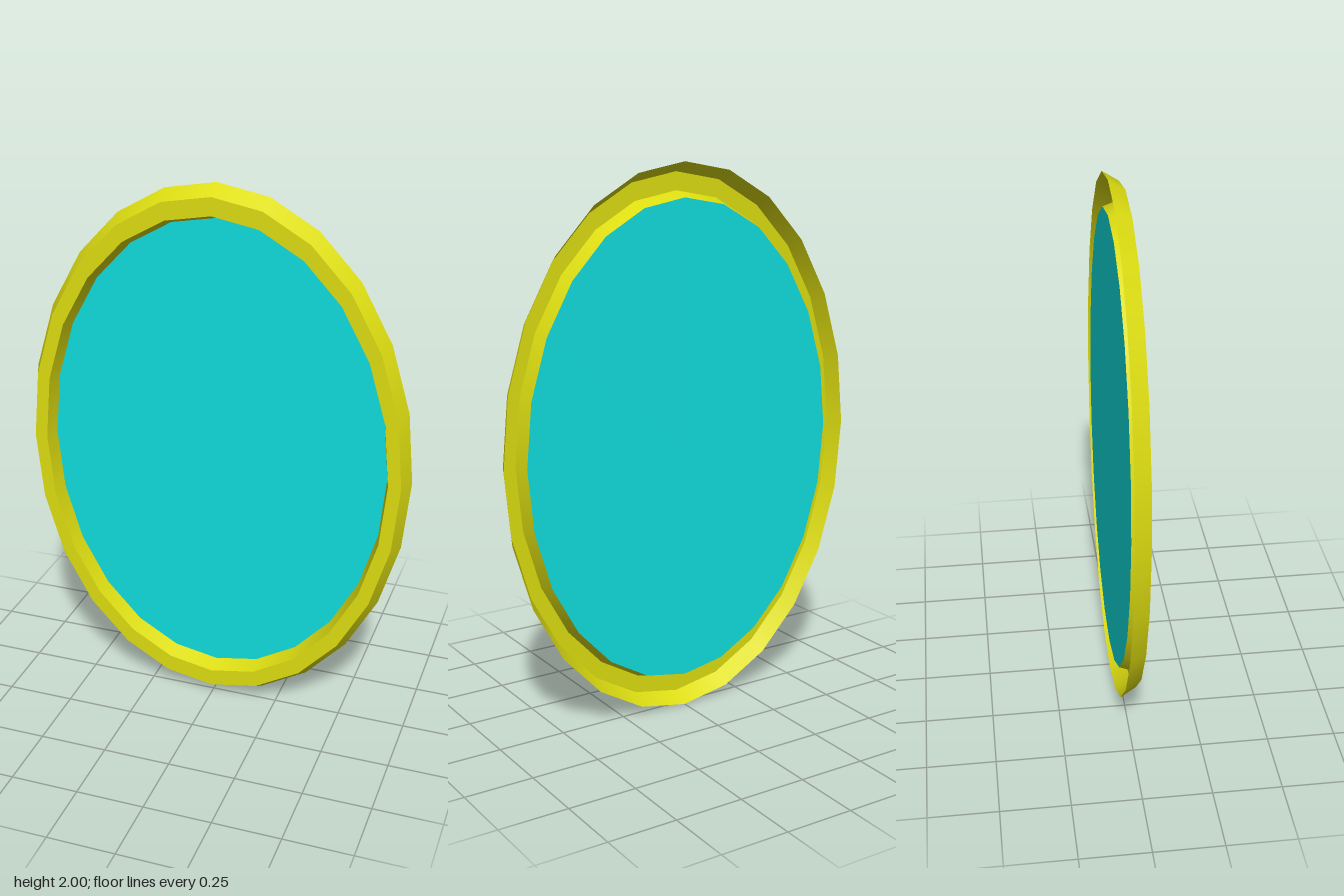
import * as THREE from 'three';

const SIDES = 24;      // facets round the oval
const OVAL = 0.718;    // width to height ratio
const Z = 0.029;       // half depth

export function createModel() {
  const model = new THREE.Group();
  model.name = 'ovalMirror';

  const frameMaterial = new THREE.MeshStandardMaterial({ color: 0xdddd11, side: THREE.DoubleSide });
  const glassMaterial = new THREE.MeshStandardMaterial({ color: 0x11dddd, side: THREE.DoubleSide });

  // Frame: an open-backed channel of three bands, each [radius, z] to [radius, z]
  const profile = [[1, -Z], [0.964, Z], [0.899, Z], [0.878, -Z]];
  const names = ['outerBevel', 'frontRim', 'innerBevel'];
  const frame = new THREE.Group();
  frame.name = 'frame';
  names.forEach((name, i) => {
    const points = [profile[i], profile[i + 1]].map(([r, z]) => new THREE.Vector2(r, z));
    const band = new THREE.LatheGeometry(points, SIDES);
    band.rotateX(Math.PI / 2).scale(OVAL, 1, 1);
    const mesh = new THREE.Mesh(band, frameMaterial);
    mesh.name = name;
    frame.add(mesh);
  });

  // Glass: flat oval closing the back edge of the inner bevel
  const glass = new THREE.Mesh(new THREE.CircleGeometry(0.878, SIDES).scale(OVAL, 1, 1), glassMaterial);
  glass.name = 'glass';
  glass.position.z = -Z;

  model.add(frame, glass);
  model.children.forEach((part) => { part.position.y = 1; });
  return model;
}
